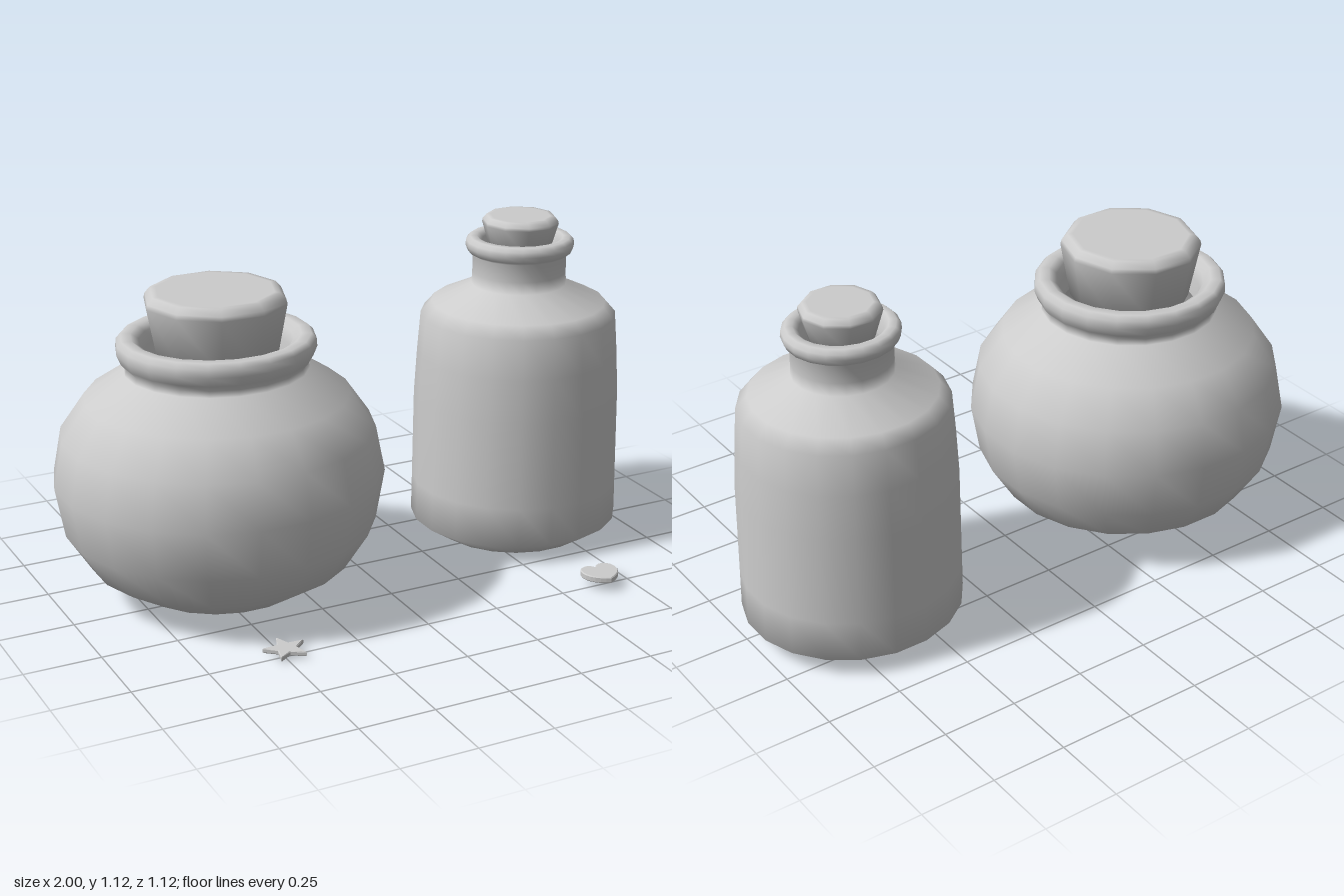
import * as THREE from 'three';

const grey = new THREE.MeshStandardMaterial({ color: 0xcccccc, side: THREE.DoubleSide });

// Revolve [radius, height] pairs, listed from the base up
function turned(name, profile, sides, phiStart, depth = 1) {
  const points = profile.map(([r, y]) => new THREE.Vector2(r, y));
  const geometry = new THREE.LatheGeometry(points, sides, phiStart);
  const mesh = new THREE.Mesh(geometry, grey);
  mesh.name = name;
  mesh.scale.z = depth;
  return mesh;
}

// Glass vessel with its stopper, standing at (x, z)
function vessel(name, x, z, glass, stopper) {
  const group = new THREE.Group();
  group.name = name;
  group.position.set(x, 0, z);
  group.add(turned(name + 'Glass', glass, 20, Math.PI / 20, 0.976));
  group.add(turned(name + 'Cork', stopper, 10, Math.PI / 2));
  return group;
}

// Flat charm lying on the ground: shape y becomes z, top face at height top
function charm(name, shape, x, top, z, thickness) {
  const bevel = 0.003;
  const geometry = new THREE.ExtrudeGeometry(shape, {
    depth: thickness - 2 * bevel, bevelEnabled: true, bevelThickness: bevel,
    bevelSize: bevel, bevelOffset: -bevel, bevelSegments: 1, curveSegments: 6,
  });
  geometry.rotateX(Math.PI / 2);
  const mesh = new THREE.Mesh(geometry, grey);
  mesh.name = name;
  mesh.position.set(x, top - bevel, z);
  return mesh;
}

function starShape() {
  const points = [];
  for (let i = 0; i < 10; i++) {
    const r = i % 2 ? 0.033 : 0.073;
    const a = -Math.PI / 2 + (i * Math.PI) / 5;
    points.push(new THREE.Vector2(r * Math.cos(a), r * Math.sin(a)));
  }
  return new THREE.Shape(points);
}

function heartShape() {
  const s = new THREE.Shape();
  s.moveTo(0, 0.058);
  s.bezierCurveTo(0.03, 0.045, 0.064, 0.02, 0.063, -0.018);
  s.bezierCurveTo(0.062, -0.064, 0.012, -0.07, 0, -0.038);
  s.bezierCurveTo(-0.012, -0.07, -0.062, -0.064, -0.063, -0.018);
  s.bezierCurveTo(-0.064, 0.02, -0.03, 0.045, 0, 0.058);
  return s;
}

export function createModel() {
  const model = new THREE.Group();
  model.name = 'bottlesAndCharms';

  // Round-bellied jar with a rolled lip
  model.add(vessel('jar', -0.473, -0.043, [
    [0, 0.008], [0.12, 0.012], [0.28, 0.035], [0.425, 0.125], [0.505, 0.25],
    [0.534, 0.415], [0.505, 0.565], [0.425, 0.68], [0.295, 0.765], [0.29, 0.785],
    [0.307, 0.805], [0.319, 0.835], [0.317, 0.862], [0.302, 0.877],
    [0.27, 0.877], [0.245, 0.86], [0.235, 0.82], [0.23, 0.76],
  ], [
    [0, 0.8], [0.195, 0.8], [0.23, 0.985], [0.226, 1.0], [0.208, 1.02], [0.19, 1.021], [0, 1.021],
  ]));

  // Tall bottle with sloping shoulders
  model.add(vessel('bottle', 0.643, -0.063, [
    [0, 0], [0.2, 0], [0.262, 0.004], [0.357, 0.065], [0.355, 0.2], [0.351, 0.5],
    [0.342, 0.65], [0.331, 0.785], [0.295, 0.825], [0.16, 0.888], [0.158, 0.93],
    [0.158, 0.99], [0.174, 1.0], [0.183, 1.02], [0.181, 1.038], [0.168, 1.05],
    [0.145, 1.05], [0.128, 1.035], [0.122, 0.98],
  ], [
    [0, 1.0], [0.1, 1.0], [0.128, 1.095], [0.126, 1.105], [0.114, 1.12], [0.1, 1.121], [0, 1.121],
  ]));

  // Charms lying in front
  model.add(charm('starCharm', starShape(), -0.485, 0.021, 0.478, 0.016));
  model.add(charm('heartCharm', heartShape(), 0.648, 0.049, 0.501, 0.021));
  return model;
}
